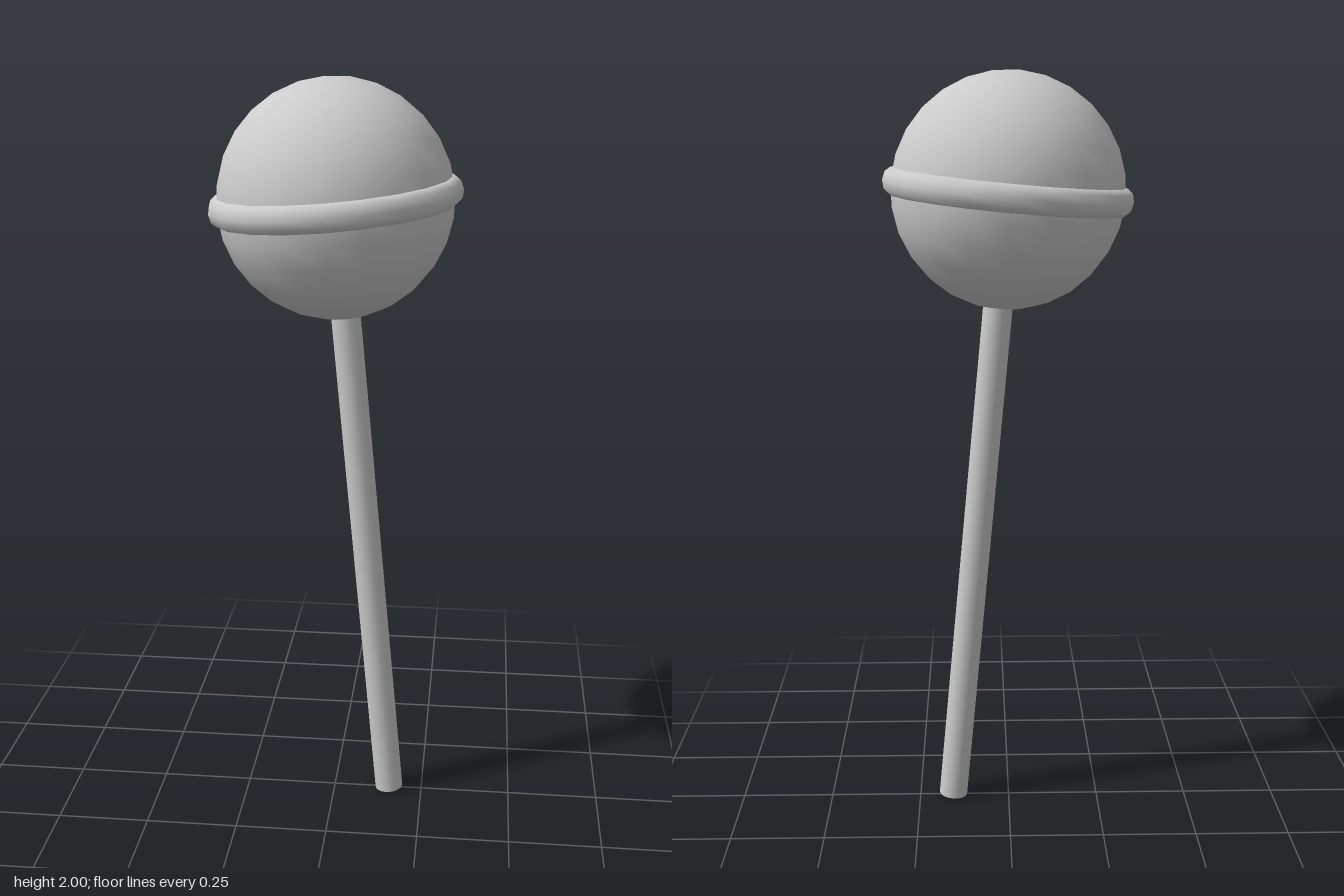
import * as THREE from 'three';

export function createModel() {
  const group = new THREE.Group();
  const material = new THREE.MeshStandardMaterial({ color: 0xcccccc });

  // Everything shares one axis that leans slightly about the candy's centre
  const lollipop = new THREE.Group();
  lollipop.name = 'lollipop';
  lollipop.position.y = 1.696;
  lollipop.rotation.z = THREE.MathUtils.degToRad(5.3);
  group.add(lollipop);

  const add = (name, geometry) => {
    const mesh = new THREE.Mesh(geometry, material);
    mesh.name = name;
    lollipop.add(mesh);
    return mesh;
  };

  // Round candy ball
  add('candy', new THREE.SphereGeometry(0.305, 20, 14));

  // Rounded band around the middle, sunk into the ball
  const profile = [
    [0.285, -0.036], [0.308, -0.034], [0.322, -0.022], [0.327, 0],
    [0.322, 0.022], [0.308, 0.034], [0.285, 0.036],
  ].map(([r, y]) => new THREE.Vector2(r, y));
  add('band', new THREE.LatheGeometry(profile, 20));

  // Stick, starting just inside the ball
  const top = -0.27, bottom = -1.698;
  const stick = add('stick', new THREE.CylinderGeometry(0.039, 0.039, top - bottom, 16));
  stick.position.y = (top + bottom) / 2;

  return group;
}
